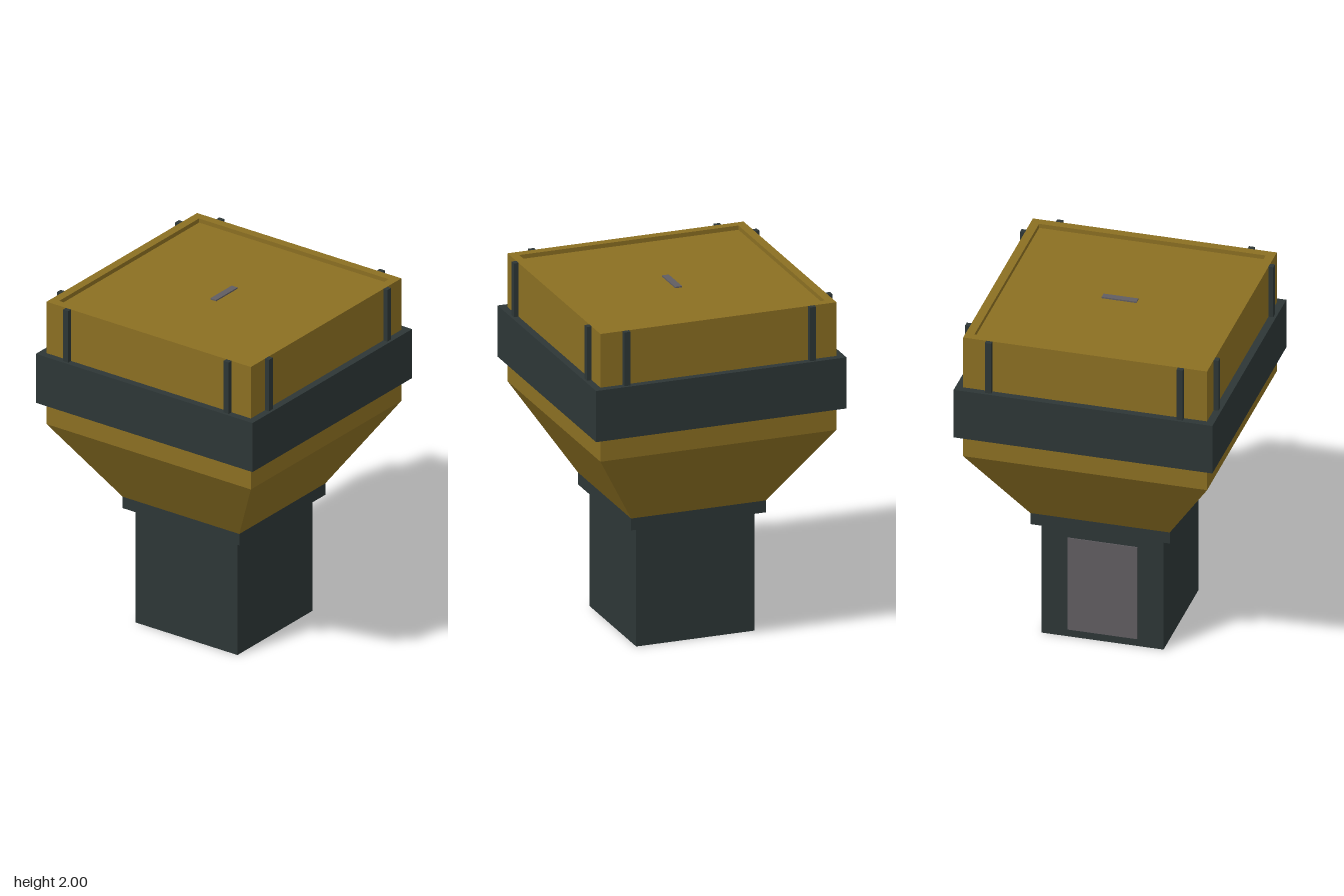
import * as THREE from 'three';

const material = (name, color) => {
  const m = new THREE.MeshStandardMaterial({ color });
  m.name = name;
  return m;
};

export function createModel() {
  const model = new THREE.Group();
  model.name = 'lanternHead';
  const gold = material('ochre', 0x8b6f22);
  const dark = material('dark slate', 0x2d3636);
  const grey = material('grey', 0x605d61);

  const add = (name, geometry, mat, x = 0, y = 0, z = 0, parent = model) => {
    const mesh = new THREE.Mesh(geometry, mat);
    mesh.name = name;
    mesh.position.set(x, y, z);
    parent.add(mesh);
    return mesh;
  };
  // Box spanning y0 to y1, centred on x and z
  const block = (name, w, y0, y1, d, mat, x = 0, z = 0, parent = model) =>
    add(name, new THREE.BoxGeometry(w, y1 - y0, d), mat, x, (y0 + y1) / 2, z, parent);

  // Square post and collar
  block('post', 0.7, 0, 0.705, 0.7, dark);
  block('collar', 0.8, 0.705, 0.775, 0.8, dark);

  // Access panel on the back of the post
  block('backPanel', 0.4, 0.045, 0.625, 0.008, grey, 0, -0.351);

  // Square funnel widening upward
  let funnel = new THREE.CylinderGeometry(0.7 * Math.SQRT2, 0.4 * Math.SQRT2, 0.475, 4);
  funnel.rotateY(Math.PI / 4);
  funnel = funnel.toNonIndexed();
  funnel.computeVertexNormals();
  add('funnel', funnel, gold, 0, 1.0125, 0);

  // Upper box with a raised rim around a recessed lid
  block('upperBox', 1.4, 1.25, 1.975, 1.4, gold);
  const square = (Type, r) => new Type([[-r, -r], [r, -r], [r, r], [-r, r]].map(([x, y]) => new THREE.Vector2(x, y)));
  const rimShape = square(THREE.Shape, 0.7);
  rimShape.holes.push(square(THREE.Path, 0.65));
  const rim = new THREE.ExtrudeGeometry(rimShape, { depth: 0.025, bevelEnabled: false });
  rim.rotateX(-Math.PI / 2);
  add('rim', rim, gold, 0, 1.975, 0);
  block('lidHandle', 0.2, 1.975, 1.983, 0.04, grey);

  // Wide band around the upper box
  block('band', 1.485, 1.385, 1.685, 1.485, dark);

  // Two upright struts on each of the four sides
  for (let i = 0; i < 4; i++) {
    const side = new THREE.Group();
    side.name = 'strutPair' + (i + 1);
    side.rotation.y = (i * Math.PI) / 2;
    for (const s of [-1, 1]) block('strut', 0.036, 1.685, 2, 0.028, dark, s * 0.55, 0.713, side);
    model.add(side);
  }
  return model;
}
